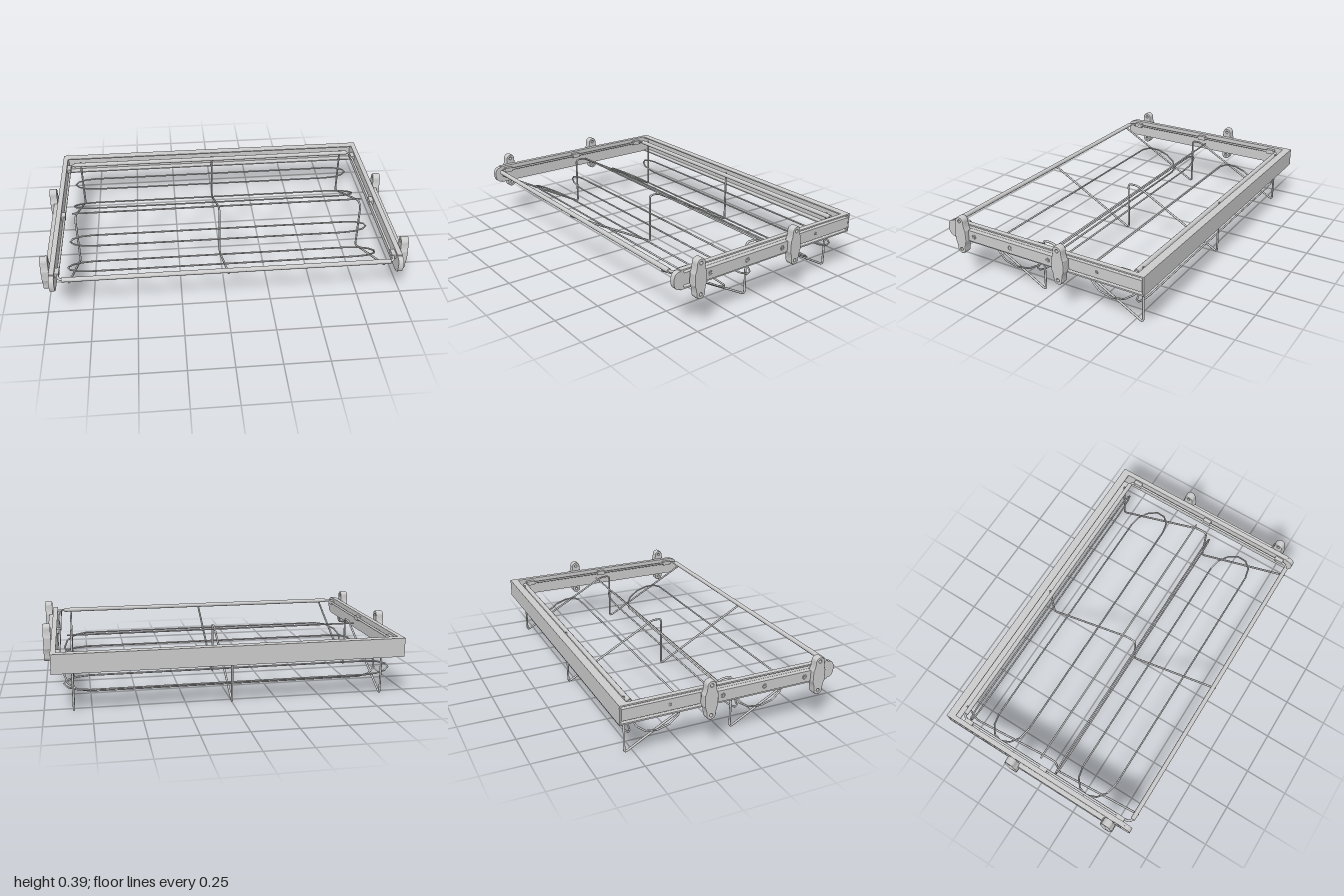
import * as THREE from 'three';

const grey = new THREE.MeshStandardMaterial({ color: 0xcccccc, side: THREE.DoubleSide });
const V = (x, y, z) => new THREE.Vector3(x, y, z);

// Curve that steps through its points by index, so every bend keeps its detail
class WirePath extends THREE.Curve {
  constructor(points, closed) {
    super();
    this.points = points;
    this.closed = closed;
    this.count = closed ? points.length : points.length - 1;
  }
  at(i) {
    const n = this.points.length;
    return this.points[this.closed ? (i + n) % n : Math.min(Math.max(i, 0), n - 1)];
  }
  getPoint(t) { return this.at(Math.round(t * this.count)).clone(); }
  getPointAt(t) { return this.getPoint(t); }
  getTangentAt(t) {
    const i = Math.round(t * this.count), p = this.at(i);
    const a = p.clone().sub(this.at(i - 1)).normalize();
    const b = this.at(i + 1).clone().sub(p).normalize();
    return a.add(b).normalize();
  }
}

// Replace each corner by a small rounded bend
function fillet(corners, radius, closed, steps = 5) {
  const out = [], n = corners.length;
  corners.forEach((p, i) => {
    if (!closed && (i === 0 || i === n - 1)) { out.push(p); return; }
    const prev = corners[(i + n - 1) % n], next = corners[(i + 1) % n];
    const a = p.clone().add(prev.clone().sub(p).setLength(radius));
    const b = p.clone().add(next.clone().sub(p).setLength(radius));
    const bend = new THREE.QuadraticBezierCurve3(a, p, b);
    out.push(...bend.getPoints(steps));
  });
  return out;
}

function add(parent, name, geometry, x = 0, y = 0, z = 0) {
  const mesh = new THREE.Mesh(geometry, grey);
  mesh.name = name;
  mesh.position.set(x, y, z);
  parent.add(mesh);
  return mesh;
}

function wire(parent, name, points, radius, closed = false) {
  const path = new WirePath(points, closed);
  return add(parent, name, new THREE.TubeGeometry(path, path.count, radius, 8, closed));
}

function crossRod(parent, name, halfLength, radius, y, z) {
  const rod = add(parent, name, new THREE.CylinderGeometry(radius, radius, halfLength * 2, 12), 0, y, z);
  rod.rotation.z = Math.PI / 2;
}

function box(parent, name, x0, x1, y0, y1, z0, z1) {
  return add(parent, name, new THREE.BoxGeometry(x1 - x0, y1 - y0, z1 - z0),
    (x0 + x1) / 2, (y0 + y1) / 2, (z0 + z1) / 2);
}

// Long oval wire; map turns (x, 0..1 across) into a point
function ovalPoints(map) {
  const pts = [];
  for (const side of [1, -1]) {
    for (let i = 0; i <= 6; i++) {
      const a = -Math.PI / 2 + Math.PI * i / 6;
      pts.push(map(side * (0.755 + 0.135 * Math.cos(a)), 0.5 + side * 0.5 * Math.sin(a)));
    }
  }
  return pts;
}

// Wall bracket outline, in z (shape x) and y, with two screw holes
function bracketGeometry() {
  const s = new THREE.Shape();
  s.moveTo(-0.035, -0.03);
  s.lineTo(-0.035, 0.03);
  s.quadraticCurveTo(-0.025, 0.05, -0.024, 0.08);
  s.absarc(0, 0.08, 0.024, Math.PI, 0, true);
  s.quadraticCurveTo(0.025, 0.05, 0.035, 0.03);
  s.lineTo(0.035, -0.03);
  s.quadraticCurveTo(0.025, -0.05, 0.024, -0.08);
  s.absarc(0, -0.08, 0.024, 0, -Math.PI, true);
  s.quadraticCurveTo(-0.025, -0.05, -0.035, -0.03);
  for (const y of [0.082, -0.082]) {
    const hole = new THREE.Path();
    hole.absarc(0, y, 0.01, 0, Math.PI * 2, false);
    s.holes.push(hole);
  }
  const g = new THREE.ExtrudeGeometry(s, {
    depth: 0.026, bevelEnabled: true, bevelThickness: 0.008, bevelSize: 0.003, bevelSegments: 2, curveSegments: 12,
  });
  return g.rotateY(Math.PI / 2);
}

// Runner, bracket and clips for the left side; the right is its mirror
function sideRunner() {
  const side = new THREE.Group();

  // Outer channel with lips, open outwards
  box(side, 'channelWeb', 0.925, 0.932, 0.23, 0.335, -0.61, 0.57);
  for (const y of [0.23, 0.327]) box(side, 'channelLip', 0.925, 0.953, y, y + 0.008, -0.61, 0.57);

  // Inner slide with rounded front end
  box(side, 'slide', 0.932, 0.952, 0.251, 0.314, -0.6, 0.58);
  const end = new THREE.Shape();
  end.moveTo(0.55, 0.235);
  end.lineTo(0.58, 0.235);
  end.quadraticCurveTo(0.61, 0.24, 0.61, 0.282);
  end.quadraticCurveTo(0.61, 0.325, 0.58, 0.328);
  end.lineTo(0.55, 0.328);
  const endGeometry = new THREE.ExtrudeGeometry(end, { depth: 0.028, bevelEnabled: false });
  add(side, 'runnerEndCap', endGeometry.rotateY(-Math.PI / 2), 0.953).scale.x = 1;

  // Mounting bar and wall brackets
  box(side, 'mountingBar', 0.952, 0.978, 0.252, 0.313, -0.18, 0.51);
  const bracket = bracketGeometry();
  for (const z of [0.485, -0.145]) add(side, 'wallBracket', bracket, 0.966, 0.283, z);

  // Screws
  for (const z of [0.41, 0.17, -0.07, -0.345]) {
    const x = z > -0.2 ? 0.978 : 0.952, r = z > -0.2 ? 0.011 : 0.007;
    add(side, 'screwRing', new THREE.TorusGeometry(r, 0.002, 6, 18).rotateY(Math.PI / 2), x, 0.283, z);
    add(side, 'screwHead', new THREE.CylinderGeometry(r * 0.5, r * 0.5, 0.004, 12).rotateZ(Math.PI / 2), x, 0.283, z);
  }

  // Clips that hold the wire frame
  for (const [z, half] of [[0.525, 0.026], [0.02, 0.024], [-0.485, 0.026]])
    box(side, 'frameClip', 0.902, 0.926, 0.296, 0.322, z - half, z + half);
  return side;
}

export function createModel() {
  const model = new THREE.Group();

  for (const s of [1, -1]) {
    const side = sideRunner();
    side.name = s > 0 ? 'leftRunner' : 'rightRunner';
    side.scale.x = s;
    model.add(side);
  }

  // Rear cross channel, open to the front
  box(model, 'rearPanel', -0.952, 0.952, 0.23, 0.335, -0.61, -0.602);
  for (const y of [0.23, 0.328]) box(model, 'rearLip', -0.952, 0.952, y, y + 0.007, -0.61, -0.565);

  // Rectangular wire frame with thicker front and rear rods
  const frame = [V(-0.908, 0.31, 0.587), V(0.908, 0.31, 0.587), V(0.908, 0.31, -0.53), V(-0.908, 0.31, -0.53)];
  wire(model, 'wireFrame', fillet(frame, 0.035, true), 0.007, true);
  crossRod(model, 'frontRod', 0.885, 0.013, 0.31, 0.587);
  crossRod(model, 'rearRod', 0.885, 0.013, 0.31, -0.53);
  crossRod(model, 'middleRod', 0.87, 0.005, 0.29, -0.03);

  // Zigzag support wires
  for (const x of [-0.845, 0, 0.845]) {
    const zigzag = [[0.6, 0.302], [0.055, 0.004], [0.055, 0.3], [-0.005, 0.3], [-0.545, 0.004], [-0.545, 0.32]];
    wire(model, 'supportWire', fillet(zigzag.map(([z, y]) => V(x, y, z)), 0.02, false), 0.006);
  }

  // Two shelves: a sloped oval and an upright oval each
  for (const dz of [0, -0.6]) {
    wire(model, 'slopedOval', ovalPoints((x, t) => V(x, 0.077 + 0.122 * t, 0.165 + 0.233 * t + dz)), 0.005, true);
    wire(model, 'uprightOval', ovalPoints((x, t) => V(x, 0.115 + 0.08 * t, 0.066 + dz)), 0.005, true);
  }
  return model;
}
